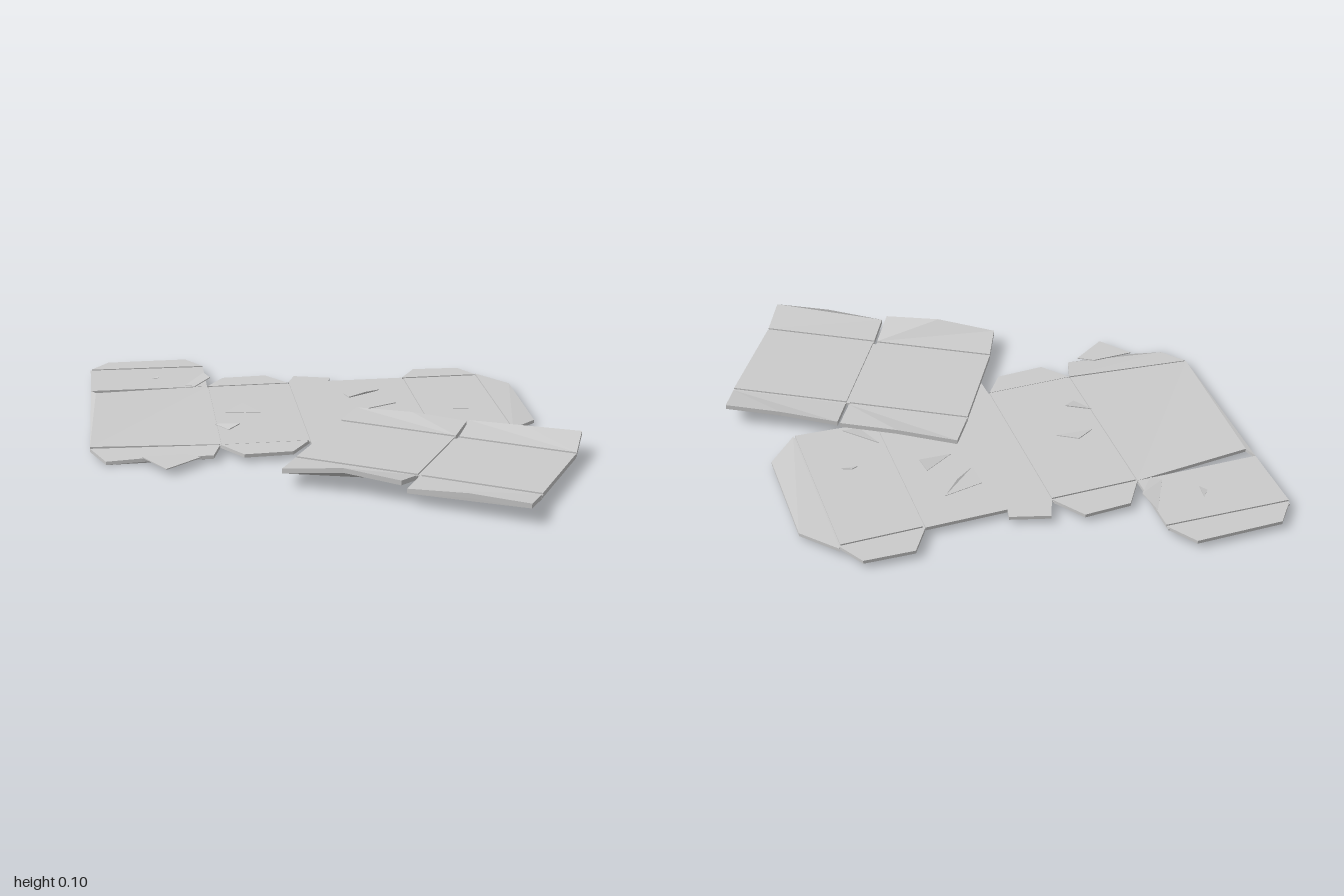
import * as THREE from 'three';

const material = new THREE.MeshStandardMaterial({ color: 0xcccccc, flatShading: true, side: THREE.DoubleSide });
const BASE = 0.036; // top of the unfolded sheet
const LID = 0.057;  // top of the torn-off lid

// Bent sheet of cardboard: corners are [x, z, optional top height]
function sheet(corners, thickness, top) {
  let pts = corners.map(([x, z, y = top]) => new THREE.Vector3(x, y, z));
  const area = pts.reduce((s, p, i) => {
    const q = pts[(i + 1) % pts.length];
    return s + p.x * q.z - q.x * p.z;
  }, 0);
  if (area > 0) pts.reverse();
  const low = pts.map((p) => new THREE.Vector3(p.x, p.y - thickness, p.z));
  const tris = THREE.ShapeUtils.triangulateShape(pts.map((p) => new THREE.Vector2(p.x, -p.z)), []);
  const out = [];
  const tri = (...vs) => vs.forEach((v) => out.push(v.x, v.y, v.z));
  for (const [a, b, c] of tris) {
    tri(pts[a], pts[b], pts[c]);
    tri(low[c], low[b], low[a]);
  }
  for (let i = 0; i < pts.length; i++) {
    const j = (i + 1) % pts.length;
    tri(pts[i], low[i], low[j]);
    tri(pts[i], low[j], pts[j]);
  }
  const g = new THREE.BufferGeometry();
  g.setAttribute('position', new THREE.Float32BufferAttribute(out, 3));
  g.computeVertexNormals();
  return g;
}

function add(group, name, corners, thickness = 0.014, top = BASE) {
  const mesh = new THREE.Mesh(sheet(corners, thickness, top), material);
  mesh.name = name;
  group.add(mesh);
}

// Sunken strip that bridges the groove between two panels
function crease(group, [x1, z1], [x2, z2], thickness = 0.007, top = BASE - 0.006) {
  const d = new THREE.Vector2(x2 - x1, z2 - z1).normalize().multiplyScalar(0.012);
  add(group, 'crease', [[x1 - d.y, z1 + d.x], [x2 - d.y, z2 + d.x],
    [x2 + d.y, z2 - d.x], [x1 + d.y, z1 - d.x]], thickness, top);
}

export function createModel() {
  const model = new THREE.Group();
  model.name = 'flattenedBox';

  // Unfolded walls with their flaps
  const walls = new THREE.Group();
  walls.name = 'walls';
  model.add(walls);
  add(walls, 'endFlap', [[-0.955, -0.907], [-0.88, -1], [-0.53, -1], [-0.458, -0.892]]);
  add(walls, 'endPanel', [[-0.96, -0.894], [-0.457, -0.878], [-0.457, -0.6], [-0.96, -0.607]]);
  add(walls, 'sidePanel', [[-0.96, -0.607, 0.036], [-0.94, -0.56, 0.041], [-0.457, -0.6],
    [-0.457, 0.125], [-0.97, 0.08, 0.034]]);
  add(walls, 'sideFlap', [[-0.97, 0.09, 0.03], [-0.457, 0.132], [-0.49, 0.235, 0.032],
    [-0.77, 0.215, 0.026], [-0.91, 0.2, 0.014]]);
  add(walls, 'firstPanel', [[-0.451, -0.592], [-0.104, -0.592], [-0.1, 0.128], [-0.451, 0.128]]);
  add(walls, 'firstBackFlap', [[-0.455, -0.602], [-0.38, -0.715, 0.034], [-0.19, -0.723, 0.034], [-0.102, -0.602]]);
  add(walls, 'firstFrontFlap', [[-0.455, 0.13], [-0.37, 0.24, 0.032], [-0.175, 0.232, 0.032], [-0.1, 0.13]]);
  add(walls, 'middlePanel', [[-0.096, -0.602], [0.407, -0.602], [0.407, 0.13], [-0.094, 0.13]]);
  add(walls, 'middleTornFlap', [[-0.1, -0.602], [-0.065, -0.69], [0.09, -0.645], [0.08, -0.602]]);
  add(walls, 'middleFrontFlap', [[-0.094, 0.13], [-0.09, 0.24, 0.032], [0.33, 0.24, 0.032], [0.407, 0.13]]);
  add(walls, 'lastPanel', [[0.415, -0.592], [0.736, -0.592], [0.736, 0.105], [0.42, 0.09]]);
  add(walls, 'lastBackFlap', [[0.41, -0.605], [0.48, -0.715], [0.68, -0.707], [0.74, -0.605]]);
  add(walls, 'glueFlap', [[0.744, -0.615], [0.865, -0.475, 0.031], [0.862, -0.015, 0.024], [0.744, 0.103]]);
  [[[-0.958, -0.9], [-0.458, -0.885]], [[-0.454, -0.6], [-0.454, 0.13]], [[-0.1, -0.6], [-0.097, 0.13]],
    [[0.411, -0.6], [0.414, 0.09]], [[0.74, -0.6], [0.74, 0.1]], [[-0.45, -0.597], [-0.104, -0.597]],
    [[0.415, -0.598], [0.736, -0.598]]].forEach(([a, b]) => crease(walls, a, b));

  // Torn scraps of paper peeling off the walls
  const scraps = new THREE.Group();
  scraps.name = 'tornScraps';
  model.add(scraps);
  [
    [[-0.69, -0.74, 0.037], [-0.66, -0.775, 0.037], [-0.665, -0.72, 0.046]],
    [[-0.46, -0.79, 0.038], [-0.438, -0.69, 0.048], [-0.51, -0.6, 0.04], [-0.55, -0.625, 0.038]],
    [[-0.77, 0.215, 0.034], [-0.68, 0.345, 0.028], [-0.54, 0.25, 0.034], [-0.6, 0.21, 0.036]],
    [[0.12, -0.42, 0.038], [0.28, -0.45, 0.038], [0.21, -0.385, 0.052], [0.13, -0.33, 0.052]],
    [[0.18, -0.21, 0.038], [0.3, -0.28, 0.038], [0.315, -0.225, 0.055]],
    [[-0.41, -0.24, 0.038], [-0.33, -0.3, 0.056], [-0.26, -0.23, 0.038]],
    [[-0.46, -0.11, 0.038], [-0.36, -0.07, 0.05], [-0.41, -0.035, 0.038]],
    [[0.55, -0.165, 0.038], [0.58, -0.19, 0.05], [0.615, -0.16, 0.038]],
    [[0.43, -0.05, 0.04], [0.55, 0.06, 0.05], [0.48, 0.07, 0.038]],
  ].forEach((c) => add(scraps, 'scrap', c, 0.004));

  // Loose lid: two panels with tabs curling upward
  const lid = new THREE.Group();
  lid.name = 'lid';
  model.add(lid);
  const piece = (name, c) => add(lid, name, c, 0.019, LID);
  piece('lidPanel', [[0.047, -0.022], [0.474, 0.226], [0.254, 0.6], [-0.177, 0.353]]);
  piece('lidPanel', [[0.486, 0.236], [0.903, 0.476], [0.673, 0.85], [0.265, 0.61]]);
  piece('lidBackTab', [[0.055, -0.037], [0.138, -0.165, 0.062], [0.35, -0.04, 0.075],
    [0.553, 0.085, 0.07], [0.482, 0.212]]);
  piece('lidFrontTab', [[-0.183, 0.366], [0.246, 0.614], [0.165, 0.74, 0.09],
    [-0.035, 0.623, 0.105], [-0.252, 0.51, 0.07]]);
  piece('lidBackTab', [[0.494, 0.221], [0.562, 0.09, 0.075], [0.765, 0.213, 0.086],
    [0.968, 0.322, 0.092], [0.909, 0.462]]);
  piece('lidFrontTab', [[0.256, 0.623], [0.666, 0.863], [0.593, 1, 0.081],
    [0.39, 0.88, 0.084], [0.183, 0.757, 0.064]]);
  [[[0.05, -0.03], [0.478, 0.219]], [[-0.18, 0.36], [0.25, 0.607]], [[0.49, 0.229], [0.906, 0.469]],
    [[0.261, 0.616], [0.67, 0.857]], [[0.48, 0.231], [0.26, 0.605]],
  ].forEach(([a, b]) => crease(lid, a, b, 0.011, LID - 0.006));

  return model;
}
